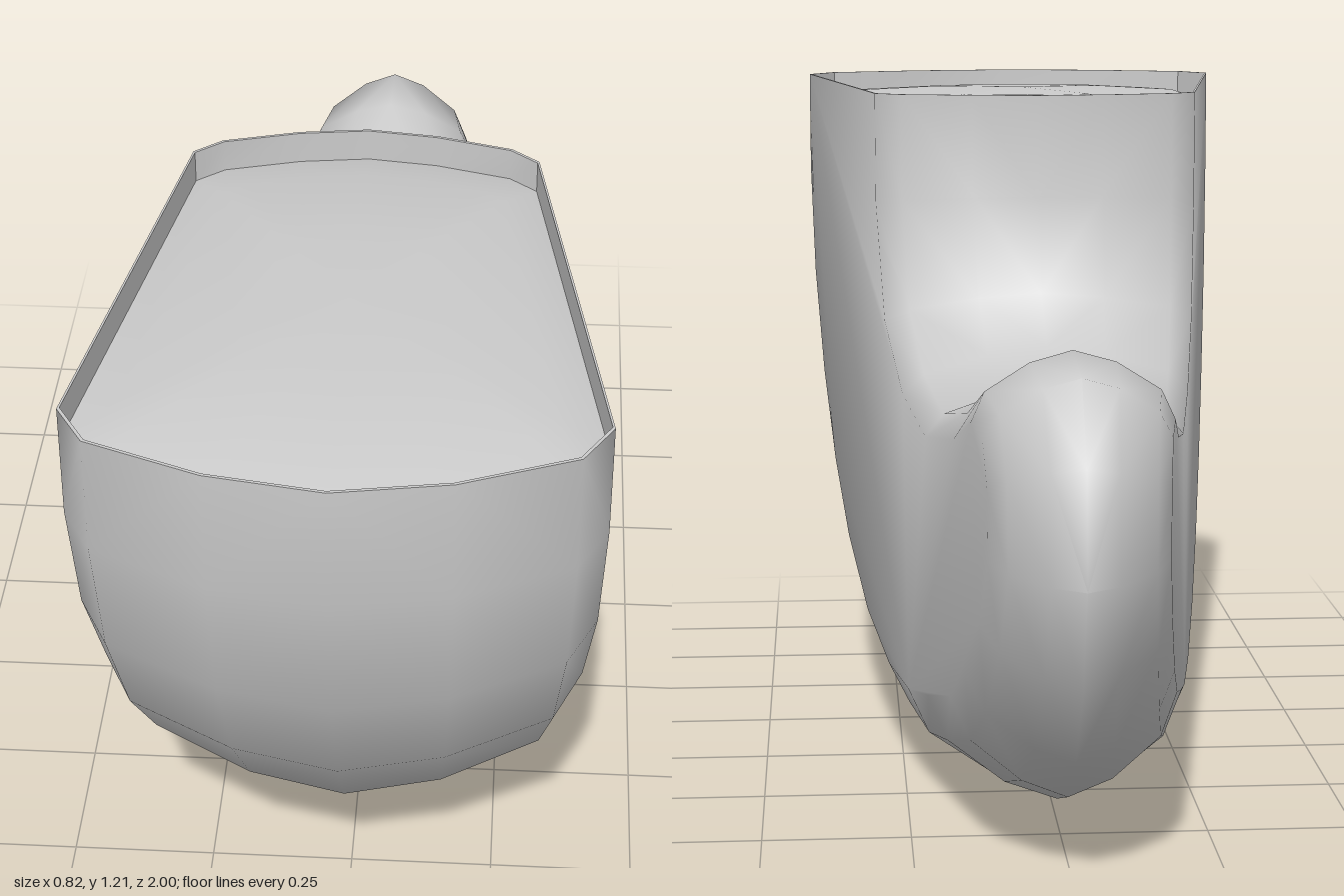
import * as THREE from 'three';
import { toCreasedNormals } from 'three/addons/utils/BufferGeometryUtils.js';

// Side outline as [z, y]: front edge, belly, tip of the hook, throat, neck
const OUTLINE = [
  [1, 1.21], [1, 1.0], [0.945, 0.75], [0.83, 0.52], [0.68, 0.33], [0.5, 0.18], [0.26, 0.06],
  [0, 0], [-0.23, 0], [-0.43, 0.04], [-0.65, 0.11], [-0.8, 0.21], [-0.93, 0.36], [-1, 0.53],
  [-0.98, 0.71], [-0.89, 0.835], [-0.73, 0.855], [-0.58, 0.79], [-0.38, 0.75], [-0.21, 0.785],
  [-0.08, 0.865], [-0.02, 1.03], [-0.02, 1.21],
];
const LAST = OUTLINE.length - 1;

// Rounding from the centre line to the flat side: [share of inset, share of half width]
const LAYERS = [[0, 0], [0.17, 0.42], [0.57, 0.86], [1, 1]];

const halfWidth = (z) => 0.279 + 0.16 * z;

// Rounding is wide along the belly, narrower round the tip and throat
function insetAt(i) {
  if (i <= 9) return 0.18;
  if (i <= 15) return 0.18 - (i - 9) * 0.01;
  return Math.max(0.09, 0.12 - (i - 15) * 0.01);
}

// Outline point moved inward along its mitred normal; the rim ends stay level
function layerPoint(i, [share, width]) {
  const [z, y] = OUTLINE[i];
  const normal = new THREE.Vector2();
  for (const j of [i - 1, i]) {
    if (j < 0 || j >= LAST) continue;
    const [z0, y0] = OUTLINE[j];
    const [z1, y1] = OUTLINE[j + 1];
    normal.add(new THREE.Vector2(y0 - y1, z0 - z1).normalize());
  }
  normal.normalize();
  const d = insetAt(i) * share;
  const pz = z - normal.x * d;
  const py = y + (i === 0 || i === LAST ? 0 : normal.y * d);
  return new THREE.Vector3(width * halfWidth(pz), py, pz);
}

function meshFrom(points, crease, name) {
  const geometry = new THREE.BufferGeometry().setFromPoints(points);
  const material = new THREE.MeshStandardMaterial({ color: 0xcccccc, side: THREE.DoubleSide });
  const mesh = new THREE.Mesh(toCreasedNormals(geometry, crease), material);
  mesh.name = name;
  return mesh;
}

const mirror = (p) => new THREE.Vector3(-p.x, p.y, p.z);

export function createModel() {
  const group = new THREE.Group();
  group.name = 'hook';
  const layers = LAYERS.map((layer) => OUTLINE.map((_, i) => layerPoint(i, layer)));

  // Hook body: rounded edge bands and a flat side, mirrored
  const body = [];
  const addTriangle = (a, b, c) => body.push(a, b, c, mirror(a), mirror(c), mirror(b));
  for (let k = 0; k < LAYERS.length - 1; k++) {
    for (let i = 0; i < LAST; i++) {
      const a = layers[k][i], b = layers[k][i + 1];
      const c = layers[k + 1][i + 1], d = layers[k + 1][i];
      addTriangle(a, b, c);
      addTriangle(a, c, d);
    }
  }
  const side = layers[LAYERS.length - 1];
  const flat = side.map((p) => new THREE.Vector2(-p.z, p.y));
  for (const [a, b, c] of THREE.ShapeUtils.triangulateShape(flat, [])) {
    const ccw = THREE.ShapeUtils.area([flat[a], flat[b], flat[c]]) > 0;
    addTriangle(side[a], side[ccw ? b : c], side[ccw ? c : b]);
  }
  group.add(meshFrom(body, 0.95, 'hookBody'));

  // Rim loop: front centre, left side, back centre, right side
  const half = [...layers.map((l) => l[0]), ...layers.map((l) => l[LAST]).reverse()];
  const rim = [...half, ...half.slice(1, -1).reverse().map(mirror)];
  const ring = (scale, y) => rim.map((p) =>
    new THREE.Vector3(p.x * scale, y, 0.48 + (p.z - 0.48) * scale));
  const bands = (rings) => {
    const out = [];
    for (let r = 0; r < rings.length - 1; r++) {
      rim.forEach((_, i) => {
        const j = (i + 1) % rim.length;
        const [outer, inner] = [rings[r], rings[r + 1]];
        out.push(outer[i], outer[j], inner[j], outer[i], inner[j], inner[i]);
      });
    }
    return out;
  };

  // Thin lip and shallow sunken top with a slightly domed floor
  group.add(meshFrom(bands([ring(1, 1.21), ring(0.99, 1.21), ring(0.99, 1.155)]), 0.6, 'rimWall'));
  group.add(meshFrom(bands([ring(0.99, 1.155), ring(0.8, 1.18), ring(0.4, 1.195), ring(0, 1.2)]),
    0.6, 'topFloor'));
  return group;
}
